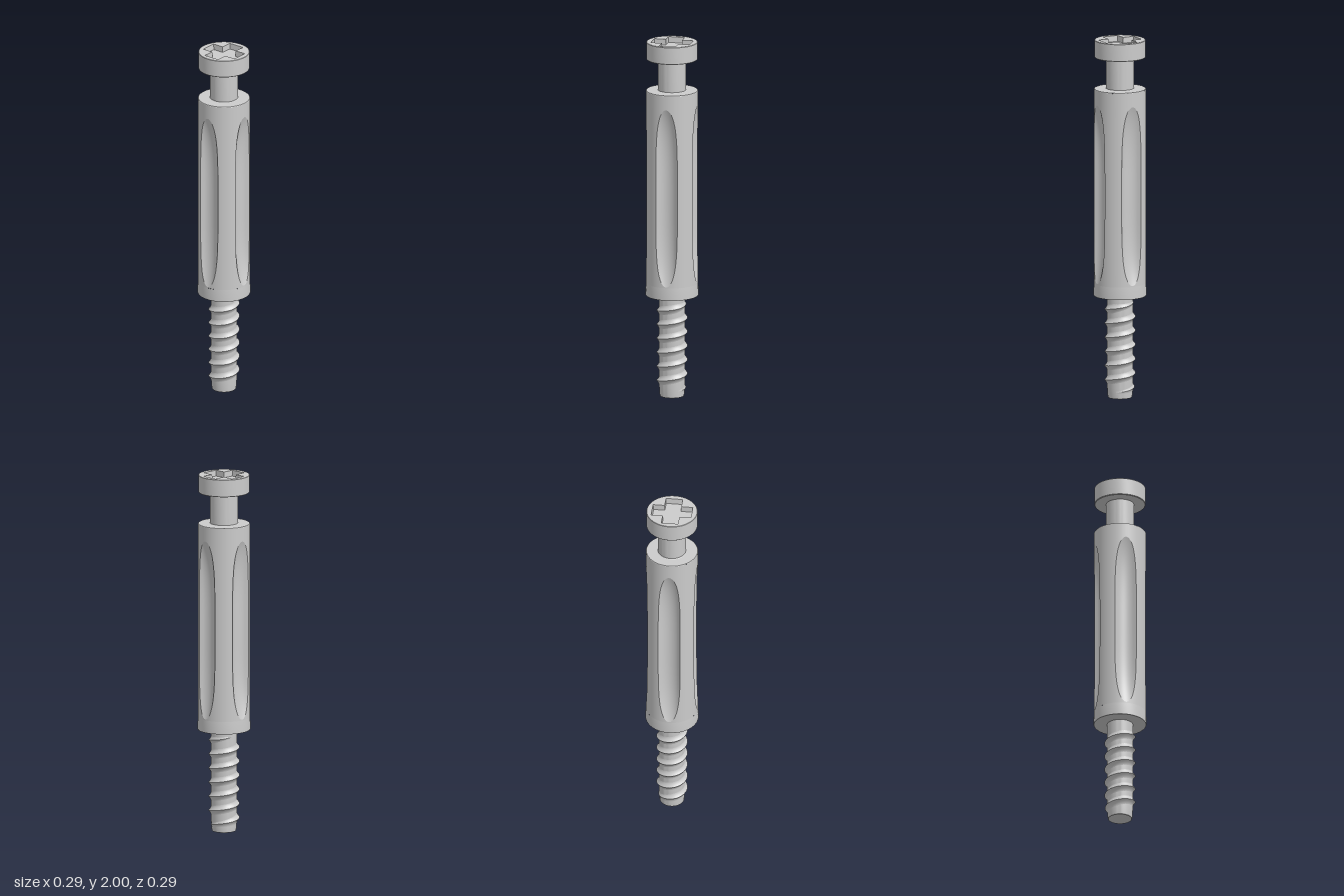
import * as THREE from 'three';
import { toCreasedNormals } from 'three/addons/utils/BufferGeometryUtils.js';

const material = new THREE.MeshStandardMaterial({ color: 0xcccccc });
const TWIST = THREE.MathUtils.degToRad(20); // turn of the flutes and the cross slot

function add(parent, name, geometry) {
  const mesh = new THREE.Mesh(geometry, material);
  mesh.name = name;
  parent.add(mesh);
  return mesh;
}

// Turned part from [radius, height] pairs, bottom to top
function turned(points, sides = 64) {
  const lathe = new THREE.LatheGeometry(points.map(([r, y]) => new THREE.Vector2(r, y)), sides);
  return toCreasedNormals(lathe, 0.5);
}

// Surface from a rule at(i, j) -> [angle, radius, height]; i runs around, j runs up
function patch(nu, nv, at, radialNormals = false) {
  const positions = [], normals = [], index = [];
  for (let j = 0; j <= nv; j++) {
    for (let i = 0; i <= nu; i++) {
      const [a, r, y] = at(i, j);
      positions.push(r * Math.sin(a), y, r * Math.cos(a));
      normals.push(Math.sin(a), 0, Math.cos(a));
      if (i < nu && j < nv) {
        const p = j * (nu + 1) + i, q = p + nu + 1;
        index.push(p, p + 1, q, p + 1, q + 1, q);
      }
    }
  }
  const g = new THREE.BufferGeometry();
  g.setAttribute('position', new THREE.Float32BufferAttribute(positions, 3));
  g.setAttribute('normal', new THREE.Float32BufferAttribute(normals, 3));
  g.setIndex(index);
  if (!radialNormals) g.computeVertexNormals();
  return g;
}

// Sleeve with four long scooped flutes
function buildSleeve() {
  const sleeve = new THREE.Group();
  sleeve.name = 'sleeve';
  const R = 0.143, cutter = 0.075, rows = 48, bottom = 0.64, top = 1.724;
  const section = (j) => {
    const t = -Math.cos((Math.PI * j) / rows);
    const depth = 0.045 * Math.max(0, 1 - t ** 4);
    const c = R - depth + cutter;
    const cos = (R * R + c * c - cutter * cutter) / (2 * R * c);
    return { y: 1.145 + 0.5 * t, c, edge: Math.acos(Math.min(1, cos)) };
  };
  for (let k = 0; k < 4; k++) {
    const mid = TWIST + (k * Math.PI) / 2;
    add(sleeve, 'flute', patch(16, rows, (i, j) => {
      const { y, c, edge } = section(j);
      const a = edge * (i / 8 - 1);
      const root = Math.sqrt(Math.max(0, cutter ** 2 - (c * Math.sin(a)) ** 2));
      return [mid + a, c * Math.cos(a) - root, y];
    }));
    // Plain wall between this flute and the next, with full rows at both ends
    add(sleeve, 'sleeveWall', patch(16, rows + 2, (i, j) => {
      const s = section(Math.min(rows, Math.max(0, j - 1)));
      const y = j === 0 ? bottom : j === rows + 2 ? top : s.y;
      return [mid + s.edge + (Math.PI / 2 - 2 * s.edge) * (i / 16), R, y];
    }, true));
  }
  add(sleeve, 'sleeveTop', turned([[R, top], [0.141, 1.727], [0.082, 1.727], [0.077, 1.73]]));
  add(sleeve, 'sleeveFlare', turned([[0.07, 0.57], [0.143, 0.57], [0.145, 0.573], [0.1445, 0.61], [R, bottom]]));
  return sleeve;
}

// Round head with a shallow cross slot
function buildHead() {
  const head = new THREE.Group();
  head.name = 'head';
  const slotY = 1.968, draft = 0.97, w = 0.046, l = 0.11;
  add(head, 'headRim', turned([[0.077, 1.902], [0.137, 1.902], [0.14, 1.905], [0.14, 1.998], [0.1385, 2]]));

  const corners = [];
  for (let k = 0; k < 4; k++) {
    for (const [x, y] of [[w, -w], [l, -w], [l, w]]) {
      corners.push(new THREE.Vector2(x, y).rotateAround(new THREE.Vector2(), TWIST + (k * Math.PI) / 2));
    }
  }
  const face = new THREE.Shape().absarc(0, 0, 0.1385, 0, Math.PI * 2);
  face.holes.push(new THREE.Path(corners));
  add(head, 'headFace', new THREE.ShapeGeometry(face, 32).rotateX(-Math.PI / 2).translate(0, 2, 0));

  const floor = new THREE.ShapeGeometry(new THREE.Shape(corners));
  add(head, 'slotFloor', floor.scale(draft, draft, 1).rotateX(-Math.PI / 2).translate(0, slotY, 0));

  // Inward-facing slot walls, leaning in slightly towards the floor
  const walls = patch(12, 1, (i, j) => {
    const p = corners[(12 - i) % 12];
    return [Math.atan2(p.x, -p.y), p.length() * (j ? 1 : draft), j ? 2 : slotY];
  });
  add(head, 'slotWalls', toCreasedNormals(walls, 0.5));
  return head;
}

// Threaded shank: plain core with a right-hand helical ridge
function buildShank() {
  const shank = new THREE.Group();
  shank.name = 'shank';
  const core = 0.071, pitch = 0.079, height = 0.015, half = 0.029;
  add(shank, 'shankCore', turned([[0, 0], [0.064, 0], [0.067, 0.004], [core, 0.06], [core, 0.57]], 48));

  const y0 = 0.035, y1 = 0.54, steps = 300;
  for (const side of [-1, 1]) {
    add(shank, side < 0 ? 'threadLowerFlank' : 'threadUpperFlank', patch(steps, 5, (i, j) => {
      const y = y0 + ((y1 - y0) * i) / steps;
      const angle = ((y - 0.495) / pitch) * Math.PI * 2;
      const s = side < 0 ? j / 5 : 1 - j / 5; // 0 at the root, 1 at the crest
      const fade = Math.min(1, i / 20, (steps - i) / 20); // runs out at both ends
      const r = core - 0.001 + (height * s ** 1.8 + 0.0005) * fade;
      return [angle, r, y + side * half * (1 - s) * (0.3 + 0.7 * fade)];
    }));
  }
  return shank;
}

export function createModel() {
  const model = new THREE.Group();
  model.name = 'fixingBolt';
  model.add(buildHead());
  add(model, 'neck', turned([[0.077, 1.727], [0.077, 1.902]], 48));
  model.add(buildSleeve());
  model.add(buildShank());
  return model;
}
